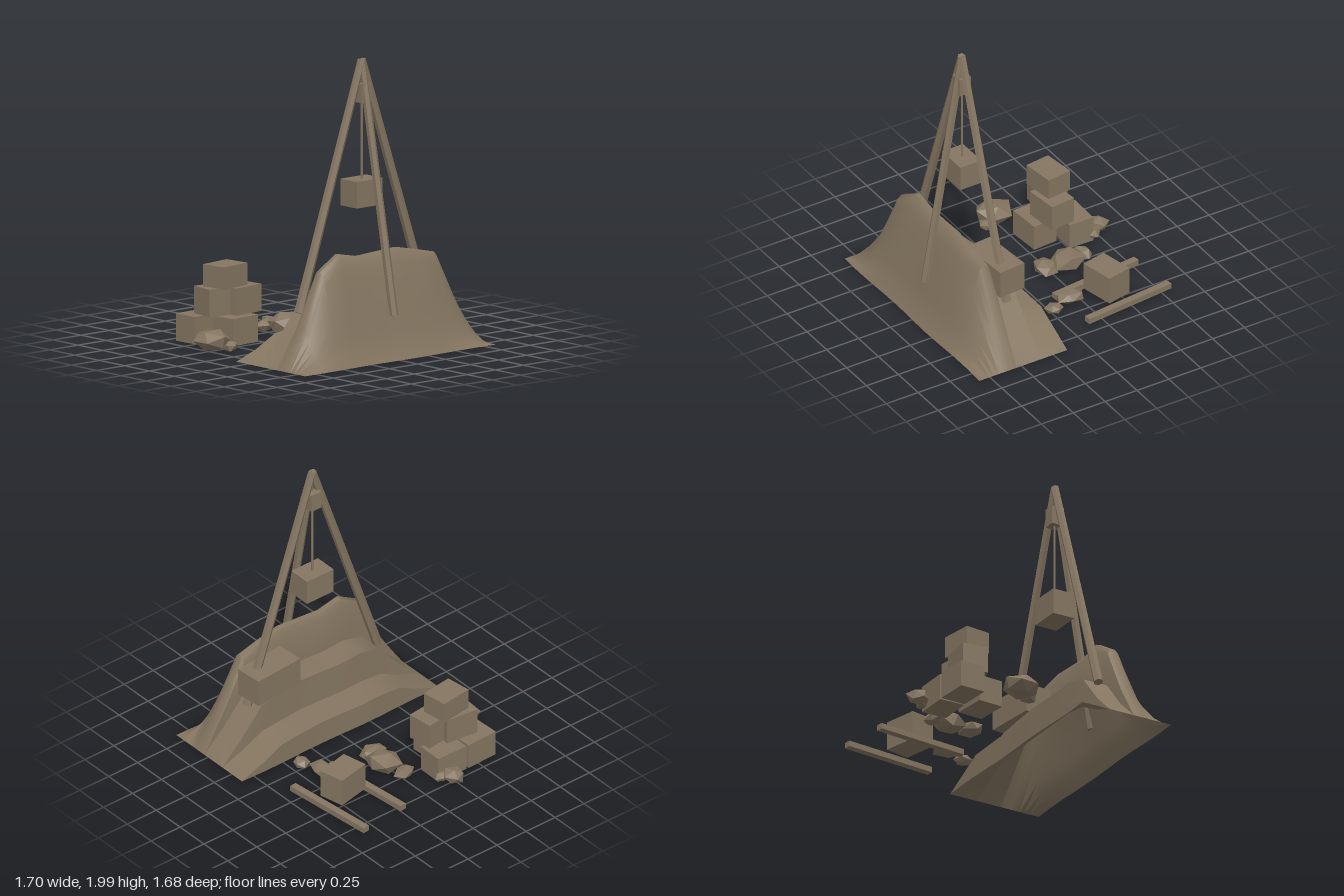
import * as THREE from 'three';
import { toCreasedNormals } from 'three/addons/utils/BufferGeometryUtils.js';

export function createModel() {
  const model = new THREE.Group();
  const stone = new THREE.MeshStandardMaterial({ color: 0x857661, side: THREE.DoubleSide });
  const add = (name, geometry) => {
    const mesh = new THREE.Mesh(geometry, stone);
    mesh.name = name;
    model.add(mesh);
    return mesh;
  };
  const block = (name, [w, h, d], [x, bottom, z], degrees = 0) => {
    const mesh = add(name, new THREE.BoxGeometry(w, h, d));
    mesh.position.set(x, bottom + h / 2, z);
    mesh.rotation.y = THREE.MathUtils.degToRad(degrees);
    return mesh;
  };
  // Tapered pole between two points
  const pole = (name, foot, top, r0, r1, sides) => {
    const a = new THREE.Vector3(...foot), b = new THREE.Vector3(...top);
    const dir = b.clone().sub(a);
    const mesh = add(name, toCreasedNormals(new THREE.CylinderGeometry(r1, r0, dir.length(), sides), 0.6));
    mesh.position.copy(a).add(b).multiplyScalar(0.5);
    mesh.quaternion.setFromUnitVectors(new THREE.Vector3(0, 1, 0), dir.normalize());
  };

  // Quarry mound: a stepped profile [z, y], scaled by the ridge height along x
  const profile = [[0.83, 0], [0.785, 0.09], [0.755, 0.2], [0.72, 0.34], [0.68, 0.5], [0.645, 0.62],
    [0.62, 0.69], [0.595, 0.715], [0.56, 0.71], [0.54, 0.67], [0.535, 0.4], [0.35, 0.4], [0.345, 0.17],
    [0.14, 0.17], [0.14, 0]];
  const ridge = [0, 0.27, 0.63, 0.73, 0.695, 0.705, 0.715, 0.68, 0.64, 0.3, 0];
  const positions = [], index = [], n = profile.length;
  ridge.forEach((height, i) => {
    const f = height / 0.715, wave = 0.005 * Math.sin(i * 1.3);
    for (const [z, y] of profile) {
      positions.push(-0.85 + i * 0.17, y * (y > 0.4 ? f : Math.min(f, 1)), z + wave);
    }
  });
  for (let i = 0; i < ridge.length - 1; i++) {
    for (let j = 0; j < n - 1; j++) {
      const a = i * n + j, b = a + n;
      index.push(a, b, b + 1, a, b + 1, a + 1);
    }
  }
  const mound = new THREE.BufferGeometry();
  mound.setAttribute('position', new THREE.Float32BufferAttribute(positions, 3));
  mound.setIndex(index);
  add('steppedMound', toCreasedNormals(mound, 0.7));

  // Tripod hoist
  const apex = [0, 1.985, 0.44];
  pole('rightLeg', [-0.56, 0.335, 0.44], apex, 0.033, 0.028, 6);
  pole('leftLeg', [0.56, 0.335, 0.44], apex, 0.033, 0.028, 6);
  pole('frontLeg', [0.02, 0.29, 0.74], [0, 1.98, 0.44], 0.031, 0.026, 6);
  block('pulley', [0.085, 0.13, 0.09], [0, 1.7, 0.44]);
  pole('rope', [0, 1.17, 0.44], [0, 1.72, 0.44], 0.008, 0.008, 6);
  block('hangingBlock', [0.23, 0.18, 0.165], [-0.002, 1, 0.44]);

  // Cut blocks: on the terrace, stacked, and on the skids
  block('terraceBlock', [0.385, 0.2, 0.2], [0.388, 0.4, 0.42], 4.5);
  [
    [-0.532, 0, -0.6, 2], [-0.278, 0, -0.6, -1], [-0.395, 0, -0.38, 4],
    [-0.45, 0.185, -0.51, -7], [-0.3, 0.185, -0.455, 6],
  ].forEach(([x, y, z, turn]) => block('stackedBlock', [0.24, 0.185, 0.185], [x, y, z], turn));
  block('topBlock', [0.235, 0.15, 0.185], [-0.395, 0.37, -0.485], 7);
  block('skidBlock', [0.25, 0.2, 0.185], [0.442, 0.04, -0.42], 12);
  block('skid', [0.05, 0.04, 0.69], [0.26, 0, -0.447], 5.8);
  block('skid', [0.05, 0.04, 0.69], [0.61, 0, -0.485], 5.8);

  // Rubble: jittered icosahedra [x, y, z, radiusX, radiusY, radiusZ]
  [
    [-0.72, 0.07, -0.25, 0.125, 0.075, 0.135], [-0.645, 0.04, -0.16, 0.055, 0.04, 0.06],
    [0.04, 0.08, -0.36, 0.125, 0.08, 0.12], [0, 0.055, -0.21, 0.105, 0.05, 0.08],
    [-0.01, 0.05, -0.51, 0.08, 0.045, 0.06], [-0.23, 0.065, -0.77, 0.08, 0.06, 0.07],
    [-0.18, 0.045, -0.7, 0.06, 0.035, 0.05], [0.4, 0.065, -0.16, 0.075, 0.045, 0.1],
    [0.455, 0.06, 0, 0.065, 0.035, 0.06],
  ].forEach(([x, y, z, rx, ry, rz], k) => {
    const g = new THREE.IcosahedronGeometry(1, 0), p = g.attributes.position;
    const v = new THREE.Vector3();
    for (let i = 0; i < p.count; i++) {
      v.fromBufferAttribute(p, i);
      v.multiplyScalar(1.02 + 0.14 * Math.sin(v.x * 5.1 + v.y * 7.3 + v.z * 3.7 + k * 2.1));
      p.setXYZ(i, v.x, v.y, v.z);
    }
    g.rotateY(k * 1.7).rotateX(k * 0.9).scale(rx, ry, rz);
    g.computeVertexNormals();
    add('rock', g).position.set(x, y, z);
  });

  return model;
}
